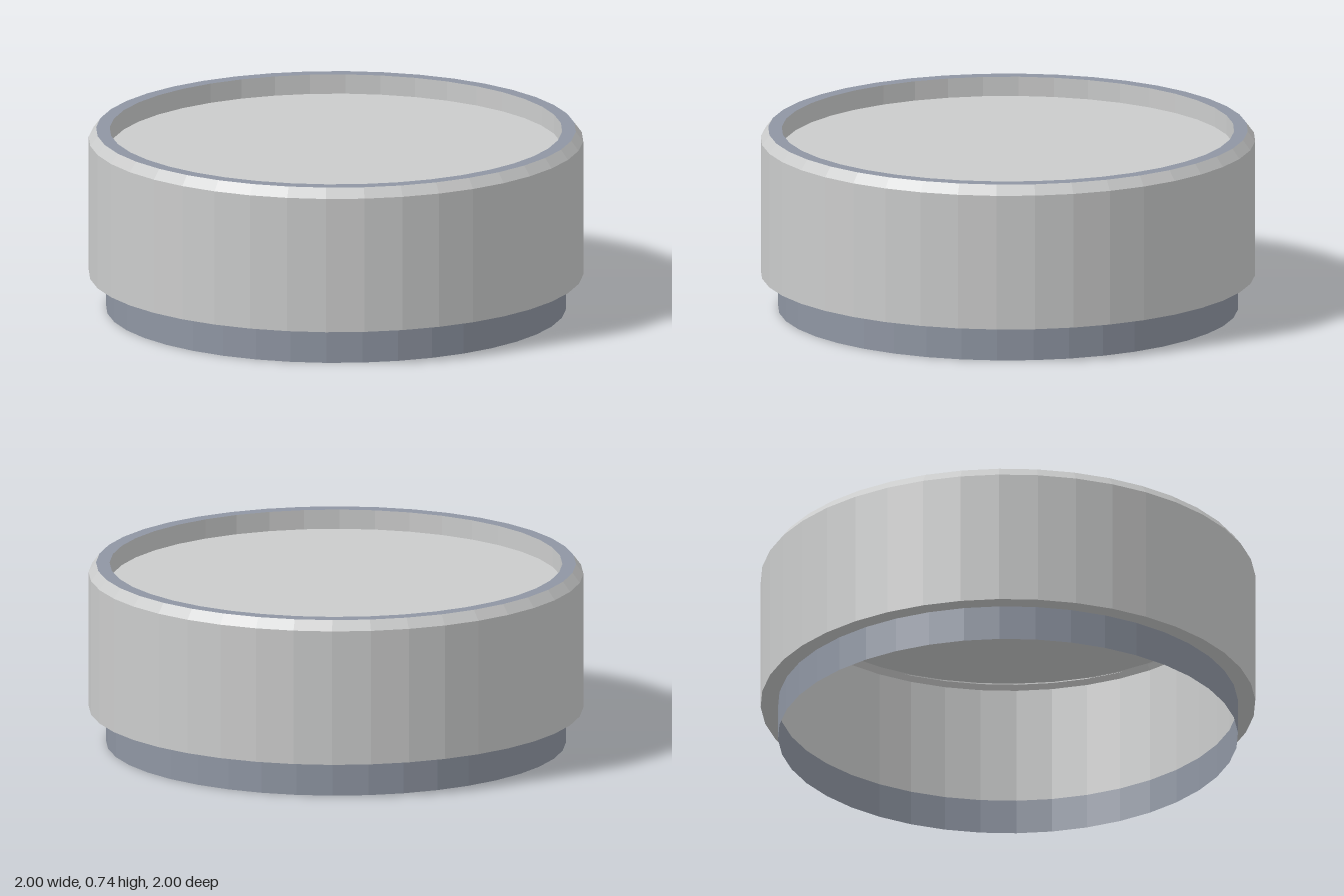
import * as THREE from 'three';

const SEGMENTS = 40;

export function createModel() {
  const group = new THREE.Group();
  const shellMat = new THREE.MeshStandardMaterial({ color: 0xcbcccc, side: THREE.DoubleSide, flatShading: true });
  shellMat.name = 'light grey';
  const trimMat = new THREE.MeshStandardMaterial({ color: 0x8f96a3, side: THREE.DoubleSide, flatShading: true });
  trimMat.name = 'blue grey';

  // Revolve a [radius, height] profile into a named part
  function revolve(name, profile, material) {
    const points = profile.map(([r, y]) => new THREE.Vector2(r, y));
    const mesh = new THREE.Mesh(new THREE.LatheGeometry(points, SEGMENTS), material);
    mesh.name = name;
    group.add(mesh);
  }

  // Outer wall with its underside ledge and chamfered shoulder
  revolve('outerWall', [[0.93, 0.145], [1, 0.145], [1, 0.7], [0.97, 0.74]], shellMat);

  // Flat ring around the top
  revolve('topRim', [[0.97, 0.74], [0.915, 0.74]], trimMat);

  // Recessed lid: short wall down to the panel
  revolve('lidRecess', [[0.915, 0.74], [0.915, 0.66]], shellMat);
  revolve('lidPanel', [[0.915, 0.66], [0, 0.66]], shellMat);

  // Hollow interior, closing in slightly under the lid
  revolve('innerWall', [[0.915, 0.655], [0.93, 0.635], [0.93, 0.145]], shellMat);

  // Stepped-in skirt, open at the bottom
  revolve('baseSkirt', [[0.93, 0], [0.93, 0.145]], trimMat);

  return group;
}
